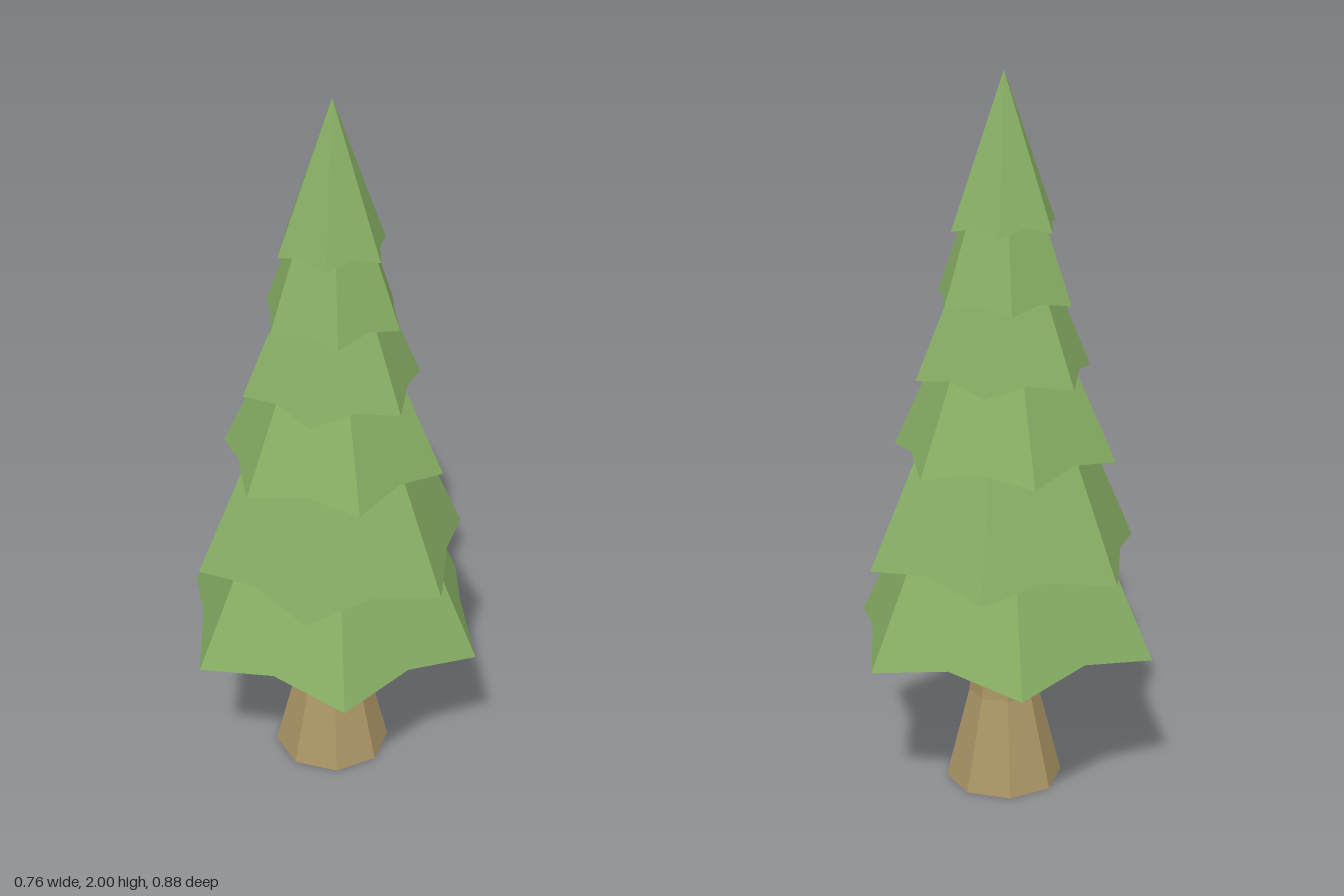
import * as THREE from 'three';

const needleGreen = new THREE.MeshStandardMaterial({ color: 0x87af64, side: THREE.DoubleSide, flatShading: true });
needleGreen.name = 'needleGreen';
const barkBrown = new THREE.MeshStandardMaterial({ color: 0xab9565, flatShading: true });
barkBrown.name = 'barkBrown';

// Open six-sided cone whose corners droop below the middle of each side
function tierGeometry({ r, y, mid, apex, turn }) {
  const rim = [];
  for (let i = 0; i < 12; i++) {
    const a = THREE.MathUtils.degToRad(turn + i * 30);
    const isCorner = i % 2 === 0;
    // Side middles lie in the plane of their face
    const radius = isCorner ? r : r * Math.cos(Math.PI / 6) * (apex - mid) / (apex - y);
    rim.push([radius * Math.sin(a), isCorner ? y : mid, -radius * Math.cos(a)]);
  }
  const pos = [];
  rim.forEach((p, i) => pos.push(0, apex, 0, ...rim[(i + 1) % 12], ...p));
  const geo = new THREE.BufferGeometry();
  geo.setAttribute('position', new THREE.Float32BufferAttribute(pos, 3));
  geo.computeVertexNormals();
  return geo;
}

export function createModel() {
  const tree = new THREE.Group();
  tree.name = 'pineTree';

  // Trunk: eight-sided, flared at the foot
  const profile = [[0, 0], [0.163, 0], [0.097, 0.265], [0.084, 0.48], [0.07, 0.75], [0, 0.75]];
  const trunk = new THREE.Mesh(
    new THREE.LatheGeometry(profile.map(([x, y]) => new THREE.Vector2(x, y)), 8),
    barkBrown
  );
  trunk.name = 'trunk';
  tree.add(trunk);

  // Branch tiers, bottom to top, each twisted by its own angle
  const tiers = [
    { r: 0.44, y: 0.43, mid: 0.47, apex: 1.38, turn: 0 },
    { r: 0.386, y: 0.674, mid: 0.708, apex: 1.56, turn: 15 },
    { r: 0.31, y: 0.965, mid: 0.992, apex: 1.65, turn: -9 },
    { r: 0.246, y: 1.192, mid: 1.214, apex: 1.78, turn: 18 },
    { r: 0.194, y: 1.396, mid: 1.416, apex: 1.94, turn: 0 },
    { r: 0.152, y: 1.592, mid: 1.61, apex: 2, turn: 10.5 },
  ];
  tiers.forEach((t, i) => {
    const tier = new THREE.Mesh(tierGeometry(t), needleGreen);
    tier.name = `branchTier${i + 1}`;
    tree.add(tier);
  });

  return tree;
}
